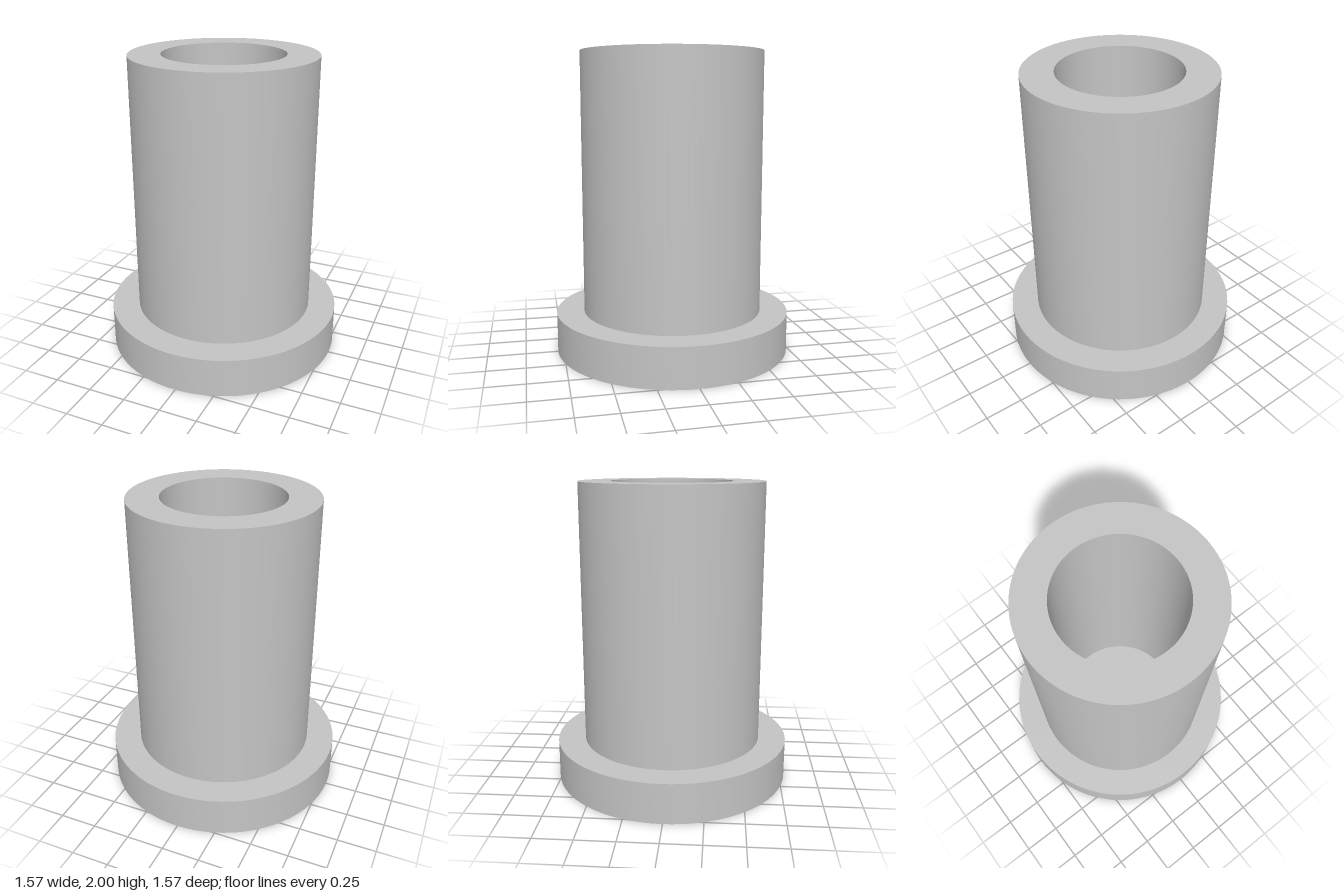
import * as THREE from 'three';
import { toCreasedNormals } from 'three/addons/utils/BufferGeometryUtils.js';

const FLANGE_R = 0.787, SLEEVE_R = 0.603, BORE_R = 0.395;
const FLANGE_H = 0.265, HEIGHT = 2;

// Revolve a profile (bottom to top on the outside) keeping its corners sharp
function turned(name, profile, material) {
  const points = profile.map(([r, y]) => new THREE.Vector2(r, y));
  const geometry = toCreasedNormals(new THREE.LatheGeometry(points, 96), 0.6);
  const mesh = new THREE.Mesh(geometry, material);
  mesh.name = name;
  return mesh;
}

export function createModel() {
  const group = new THREE.Group();
  group.name = 'flangedBushing';
  const metal = new THREE.MeshStandardMaterial({ color: 0xc4c4c4 });
  metal.name = 'light grey metal';

  // Solid base disc with its exposed ledge
  group.add(turned('flange', [
    [0, 0], [FLANGE_R, 0], [FLANGE_R, FLANGE_H], [SLEEVE_R, FLANGE_H],
  ], metal));

  // Tube wall, rim, blind bore and bore floor
  group.add(turned('sleeve', [
    [SLEEVE_R, FLANGE_H], [SLEEVE_R, HEIGHT], [BORE_R, HEIGHT],
    [BORE_R, FLANGE_H], [0, FLANGE_H],
  ], metal));

  return group;
}
